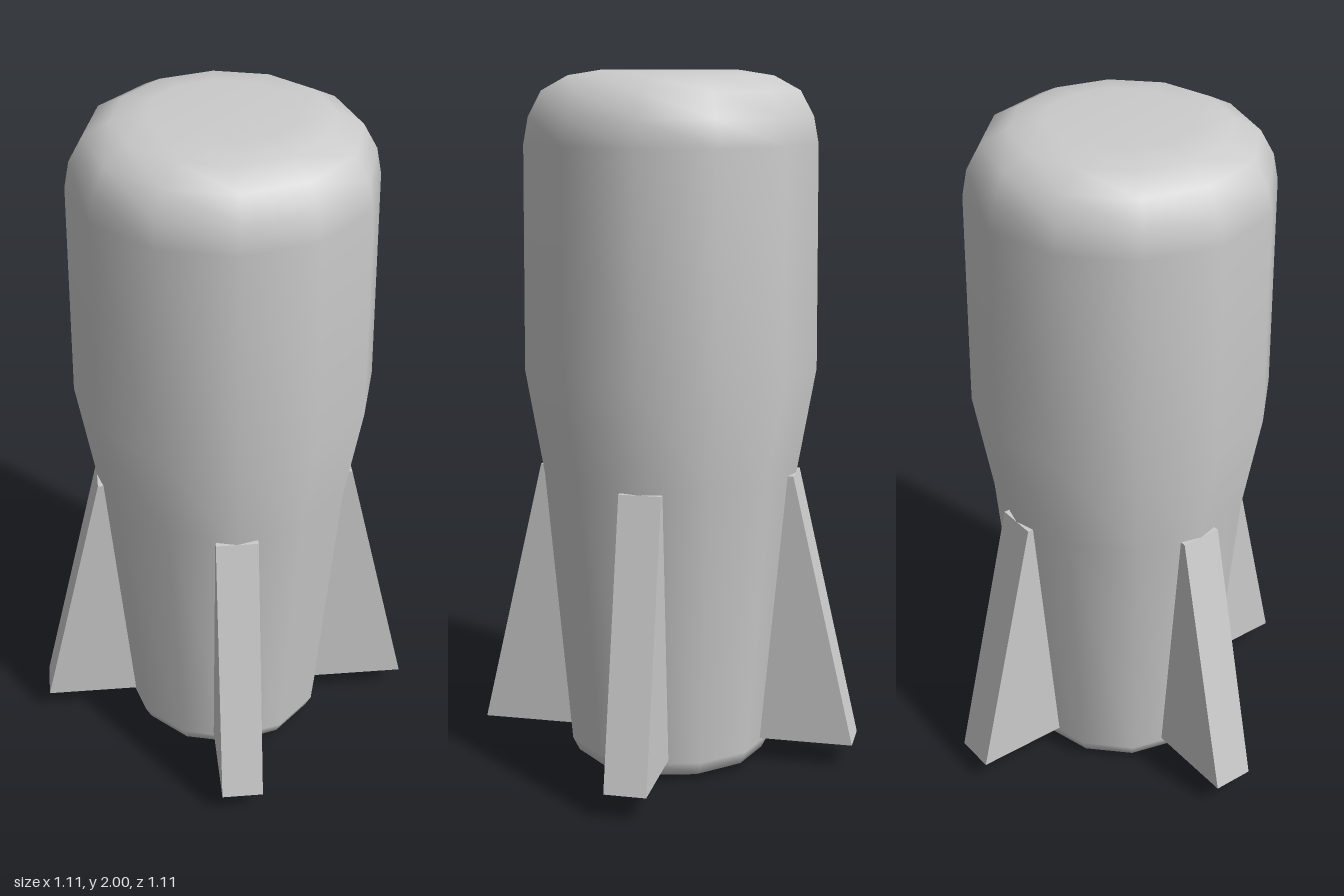
import * as THREE from 'three';

const SIDES = 12;
const FIN_THICKNESS = 0.12;

export function createModel() {
  const model = new THREE.Group();
  model.name = 'finnedRocket';
  const grey = new THREE.MeshStandardMaterial({ color: 0xcccccc });

  const add = (geometry, name, parent = model) => {
    const mesh = new THREE.Mesh(geometry, grey);
    mesh.name = name;
    parent.add(mesh);
    return mesh;
  };

  // Twelve-sided hull with rounded ends, smooth shaded, from tail to nose
  const profile = [
    [0.235, 0], [0.28, 0.02], [0.3, 0.06], [0.374, 0.87], [0.427, 1.17],
    [0.422, 1.8], [0.408, 1.875], [0.37, 1.945], [0.296, 1.985], [0.2, 2], [0, 2],
  ].map(([r, y]) => new THREE.Vector2(r, y));
  add(new THREE.LatheGeometry(profile, SIDES), 'hull');

  // Flat tail plate with a sharp edge
  add(new THREE.CircleGeometry(profile[0].x, SIDES).rotateX(Math.PI / 2), 'tailPlate');

  // Four wedge fins, their inner edges sunk into the hull
  const finShape = new THREE.Shape([
    new THREE.Vector2(0.22, 0.07),
    new THREE.Vector2(0.557, 0.07),
    new THREE.Vector2(0.374, 0.865),
    new THREE.Vector2(0.28, 0.865),
  ]);
  const finGeometry = new THREE.ExtrudeGeometry(finShape, { depth: FIN_THICKNESS, bevelEnabled: false });
  finGeometry.translate(0, 0, -FIN_THICKNESS / 2);

  const fins = new THREE.Group();
  fins.name = 'fins';
  model.add(fins);
  ['leftFin', 'backFin', 'rightFin', 'frontFin'].forEach((name, i) => {
    add(finGeometry, name, fins).rotation.y = (i * Math.PI) / 2;
  });

  return model;
}
